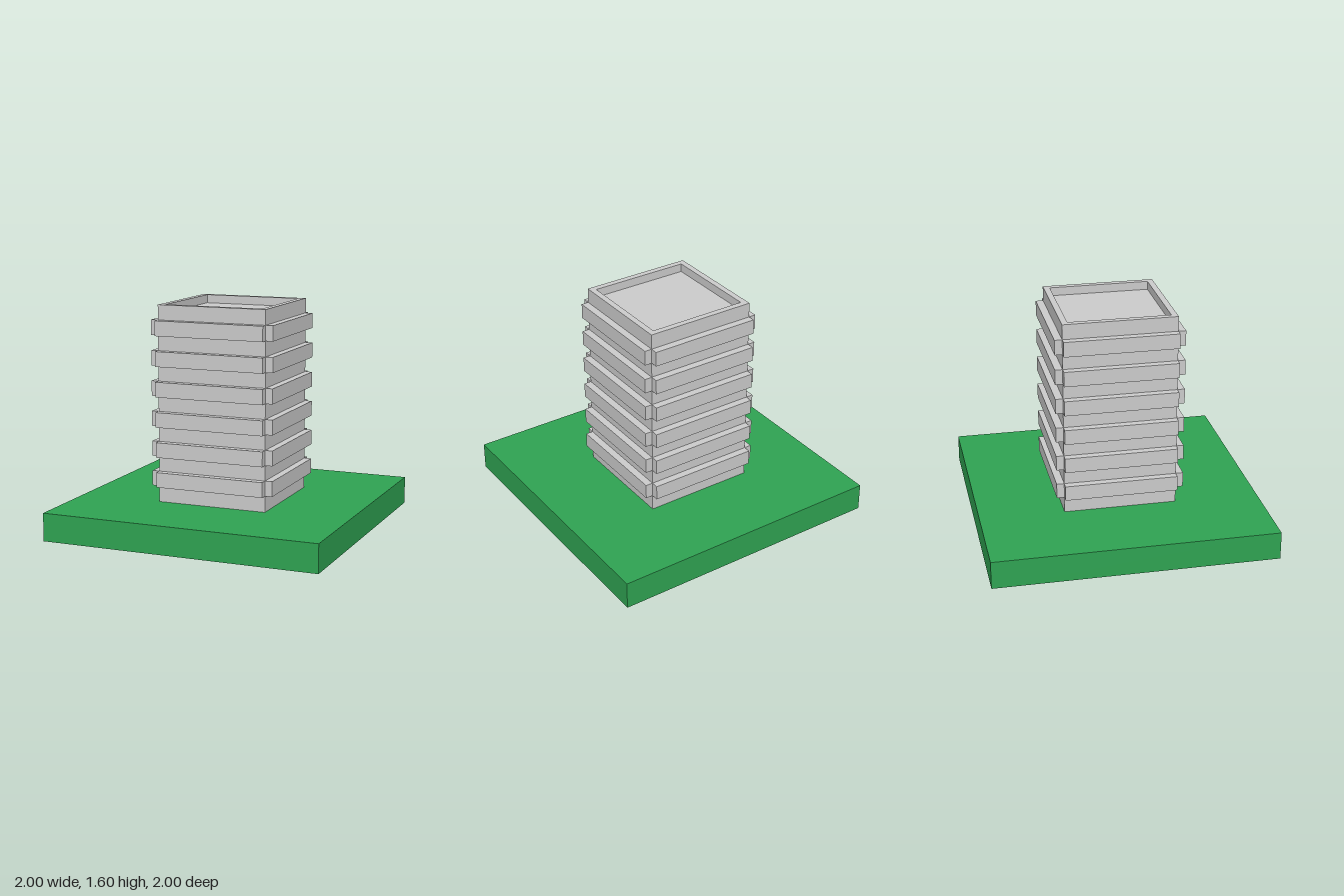
import * as THREE from 'three';

const WIDTH = 0.8, BASE_TOP = 0.2, TOP = 1.6;
const RECESS = 0.06, RIM = 0.043;

export function createModel() {
  const model = new THREE.Group();
  const grey = new THREE.MeshStandardMaterial({ color: 0xcccccc, flatShading: true });
  const green = new THREE.MeshStandardMaterial({ color: 0x2fa352, flatShading: true });

  const add = (parent, name, geometry, material, y) => {
    const mesh = new THREE.Mesh(geometry, material);
    mesh.name = name;
    mesh.position.y = y;
    parent.add(mesh);
    return mesh;
  };

  // Lawn slab
  add(model, 'lawn', new THREE.BoxGeometry(2, BASE_TOP, 2), green, BASE_TOP / 2);

  // Tower body up to the roof floor
  const bodyHeight = TOP - RECESS - BASE_TOP;
  add(model, 'towerBody', new THREE.BoxGeometry(WIDTH, bodyHeight, WIDTH), grey, BASE_TOP + bodyHeight / 2);

  // Parapet: square ring around the sunken roof
  const h = WIDTH / 2, i = h - RIM;
  const ring = new THREE.Shape([[-h, -h], [h, -h], [h, h], [-h, h]].map(p => new THREE.Vector2(...p)));
  ring.holes.push(new THREE.Path([[-i, -i], [-i, i], [i, i], [i, -i]].map(p => new THREE.Vector2(...p))));
  const parapet = new THREE.ExtrudeGeometry(ring, { depth: RECESS, bevelEnabled: false });
  parapet.rotateX(-Math.PI / 2);
  add(model, 'parapet', parapet, grey, TOP - RECESS);

  // Balconies: one on each side of every floor, leaving the corners open
  const balcony = new THREE.BoxGeometry(WIDTH, 0.107, 0.053);
  balcony.translate(0, 0, h + 0.053 / 2);
  for (let floor = 0; floor < 6; floor++) {
    const level = new THREE.Group();
    level.name = `balconyLevel${floor + 1}`;
    level.position.y = 0.368 + floor * 0.2145;
    for (let side = 0; side < 4; side++) {
      add(level, 'balcony', balcony, grey, 0).rotation.y = side * Math.PI / 2;
    }
    model.add(level);
  }

  return model;
}
